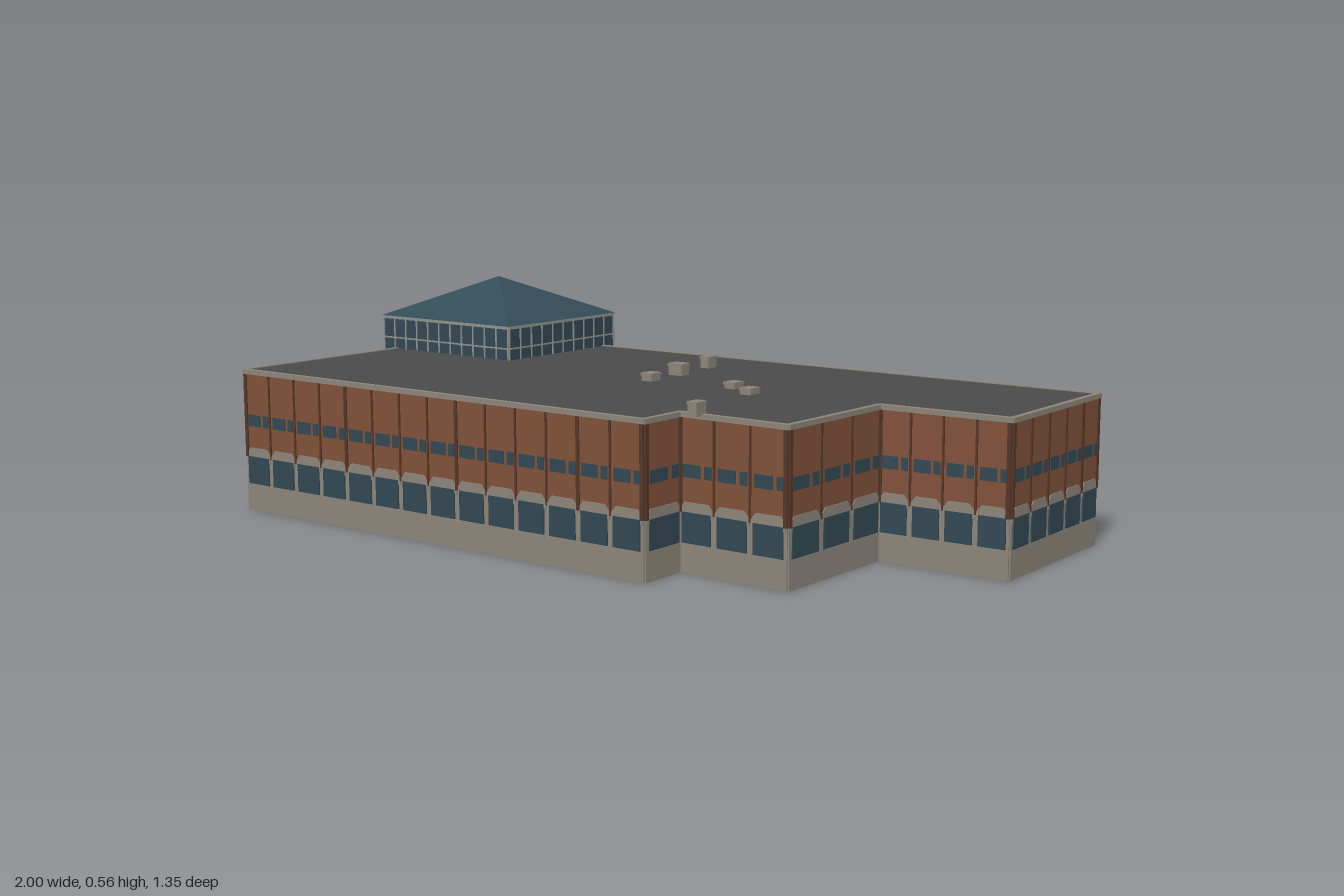
import * as THREE from 'three';

const paint = (name, color) => {
  const m = new THREE.MeshStandardMaterial({ color });
  m.name = name;
  return m;
};
const brick = paint('brick', 0x80513a);
const darkBrick = paint('dark brick', 0x553627);
const stone = paint('stone', 0x8b8479);
const glass = paint('window glass', 0x324853);
const roofGlass = paint('glass roof', 0x334b58);
const roofing = paint('roofing', 0x4a4a4a);
const frame = paint('window frame', 0x8e928b);
const cream = paint('cream panel', 0xd9c38f);

// Box given by its centre in x and z and its bottom and top in y
function box(parent, name, mat, x, z, y0, y1, w, d) {
  const mesh = new THREE.Mesh(new THREE.BoxGeometry(w, y1 - y0, d), mat);
  mesh.position.set(x, (y0 + y1) / 2, z);
  mesh.name = name;
  parent.add(mesh);
  return mesh;
}

// Group whose local x axis runs from point a to point b
function span(parent, name, a, b) {
  const g = new THREE.Group();
  const dx = b[0] - a[0], dz = b[1] - a[1];
  g.name = name;
  g.position.set(a[0], 0, a[1]);
  g.rotation.y = -Math.atan2(dz, dx);
  g.userData.length = Math.hypot(dx, dz);
  parent.add(g);
  return g;
}

// Stone lintel with chamfered upper corners
function lintelGeometry(w) {
  const h = w / 2, s = new THREE.Shape();
  s.moveTo(-h, 0.13);
  s.lineTo(h, 0.13);
  s.lineTo(h, 0.148);
  s.lineTo(h - 0.013, 0.164);
  s.lineTo(-h + 0.013, 0.164);
  s.lineTo(-h, 0.148);
  const g = new THREE.ExtrudeGeometry(s, { depth: 0.01, bevelEnabled: false });
  return g.translate(0, 0, -0.005);
}

// Two-storey wall, finished on both faces and divided into equal bays
function bayWall(parent, name, a, b, bays) {
  const g = span(parent, name, a, b);
  const L = g.userData.length, w = L / bays;
  box(g, 'stoneBase', stone, L / 2, 0, 0, 0.068, L, 0.008);
  box(g, 'lowerWall', stone, L / 2, 0, 0.068, 0.14, L, 0.006);
  box(g, 'brickWall', brick, L / 2, 0, 0.14, 0.356, L, 0.006);
  box(g, 'coping', stone, L / 2, 0, 0.355, 0.367, L + 0.008, 0.014);
  const lintel = lintelGeometry(w * 0.95);
  for (let i = 0; i < bays; i++) {
    const x = (i + 0.5) * w;
    const top = new THREE.Mesh(lintel, stone);
    top.name = 'lintel';
    top.position.x = x;
    g.add(top);
    box(g, 'lowerWindow', glass, x, 0, 0.07, 0.141, w * 0.82, 0.013);
    box(g, 'wideUpperWindow', glass, x - w * 0.14, 0, 0.22, 0.25, w * 0.5, 0.01);
    box(g, 'narrowUpperWindow', glass, x + w * 0.32, 0, 0.22, 0.25, w * 0.2, 0.01);
    if (i > 0) box(g, 'brickJoint', darkBrick, i * w, 0, 0.14, 0.355, i % 4 === 0 ? 0.009 : 0.005, 0.012);
  }
  // dark corner strips
  for (const x of [0.004, L - 0.004]) box(g, 'cornerStrip', darkBrick, x, 0, 0.14, 0.355, 0.01, 0.012);
}

// Glazed wall with a grid of thin frames
function glazedWall(parent, name, a, b, y0, y1, cols, rows) {
  const g = span(parent, name, a, b);
  const L = g.userData.length;
  box(g, 'glazing', glass, L / 2, 0, y0, y1, L, 0.004);
  for (let i = 0; i <= cols; i++) box(g, 'mullion', frame, (i * L) / cols, 0, y0, y1, 0.004, 0.009);
  for (let j = 0; j <= rows; j++) {
    const y = y0 + ((y1 - y0) * j) / rows;
    box(g, 'transom', frame, L / 2, 0, y - 0.002, y + 0.002, L, 0.009);
  }
  return g;
}

export function createModel() {
  const model = new THREE.Group();
  model.name = 'officeBuilding';

  // Outer walls: name, start, end, number of bays
  const walls = [
    ['leftWall', [-0.945, 0.13], [-0.945, 0.667], 5],
    ['frontWall', [-0.945, 0.667], [0.36, 0.655], 14],
    ['firstStepSide', [0.36, 0.655], [0.36, 0.527], 1],
    ['firstStepFront', [0.36, 0.527], [0.653, 0.527], 3],
    ['secondStepSide', [0.653, 0.527], [0.66, 0.17], 3],
    ['secondStepFront', [0.66, 0.17], [0.99, 0.156], 4],
    ['sideWall', [0.99, 0.156], [0.983, -0.283], 5],
    ['backWall', [0.983, -0.283], [-0.52, -0.262], 16],
  ];
  for (const [name, a, b, n] of walls) bayWall(model, name, a, b, n);

  // Flat roof following the wall line
  const outline = new THREE.Shape();
  walls.forEach(([, a], i) => (i ? outline.lineTo(a[0], -a[1]) : outline.moveTo(a[0], -a[1])));
  outline.lineTo(-0.52, 0.262);
  outline.lineTo(-0.52, -0.13);
  const roofGeo = new THREE.ExtrudeGeometry(outline, { depth: 0.008, bevelEnabled: false });
  roofGeo.rotateX(-Math.PI / 2);
  const roof = new THREE.Mesh(roofGeo, roofing);
  roof.name = 'flatRoof';
  roof.position.y = 0.357;
  model.add(roof);

  // Stone base under the corner tower
  const basePath = [[-0.52, -0.262], [-0.55, -0.295], [-0.99, -0.295], [-0.99, -0.06], [-0.945, 0.13]];
  for (let i = 0; i + 1 < basePath.length; i++) {
    const g = span(model, 'towerBase', basePath[i], basePath[i + 1]);
    box(g, 'stoneBase', stone, g.userData.length / 2, 0, 0, 0.068, g.userData.length, 0.008);
  }

  // Glazed corner tower
  const tower = new THREE.Group();
  tower.name = 'cornerTower';
  model.add(tower);
  const x0 = -0.994, x1 = -0.525, z0 = -0.306, z1 = 0.126;
  glazedWall(tower, 'towerBack', [x1, z0], [x0, z0], 0.065, 0.45, 11, 7);
  const outer = glazedWall(tower, 'towerOuterSide', [x0, z0], [x0, z1], 0.065, 0.45, 10, 7);
  const front = glazedWall(tower, 'towerFront', [x0, z1], [x1, z1], 0.065, 0.45, 11, 7);
  glazedWall(tower, 'towerInnerSide', [x1, z1], [x1, z0], 0.065, 0.45, 10, 7);

  // Brick piers beside the tower entrance
  for (const x of [0.13, 0.215]) box(outer, 'brickPier', brick, x, 0.003, 0.1, 0.28, 0.04, 0.009);
  box(outer, 'entranceLintel', stone, 0.3, 0.003, 0.155, 0.17, 0.13, 0.009);

  // Cream panels on the inside faces
  for (const x of [0.09, 0.2, 0.31]) {
    box(front, 'creamPanel', cream, x, -0.006, 0.075, 0.165, 0.07, 0.004);
    box(outer, 'creamPanel', cream, x, -0.006, 0.075, 0.165, 0.06, 0.004);
  }

  // Tower eaves and pyramid roof
  box(tower, 'eaves', frame, -0.76, -0.09, 0.447, 0.455, 0.478, 0.44);
  const pyramidGeo = new THREE.ConeGeometry(Math.SQRT1_2, 1, 4).rotateY(Math.PI / 4).toNonIndexed();
  pyramidGeo.scale(0.48, 0.106, 0.442);
  pyramidGeo.computeVertexNormals();
  const pyramid = new THREE.Mesh(pyramidGeo, roofGlass);
  pyramid.name = 'pyramidRoof';
  pyramid.position.set(-0.76, 0.508, -0.09);
  tower.add(pyramid);

  // Open-ended footbridge at the back
  const bridge = new THREE.Group();
  bridge.name = 'footbridge';
  model.add(bridge);
  box(bridge, 'bridgeFloor', stone, -0.65, -0.493, 0.165, 0.173, 0.072, 0.374);
  box(bridge, 'bridgeRoof', stone, -0.65, -0.493, 0.22, 0.23, 0.072, 0.374);
  for (const x of [-0.682, -0.618]) glazedWall(bridge, 'bridgeSide', [x, -0.31], [x, -0.677], 0.172, 0.221, 9, 1);

  // Rooftop vents: x, z, width, depth, top
  const vents = [
    [-0.02, -0.086, 0.028, 0.04, 0.395],
    [0, 0.066, 0.045, 0.036, 0.395],
    [0.006, 0.186, 0.036, 0.04, 0.385],
    [0.244, 0.165, 0.034, 0.04, 0.381],
    [0.33, 0.22, 0.034, 0.04, 0.381],
    [0.413, 0.536, 0.028, 0.038, 0.396],
  ];
  for (const [x, z, w, d, top] of vents) {
    box(model, 'roofVent', stone, x, z, 0.363, top - 0.006, w * 0.9, d * 0.9);
    box(model, 'ventCap', stone, x, z, top - 0.007, top, w, d);
  }
  return model;
}
